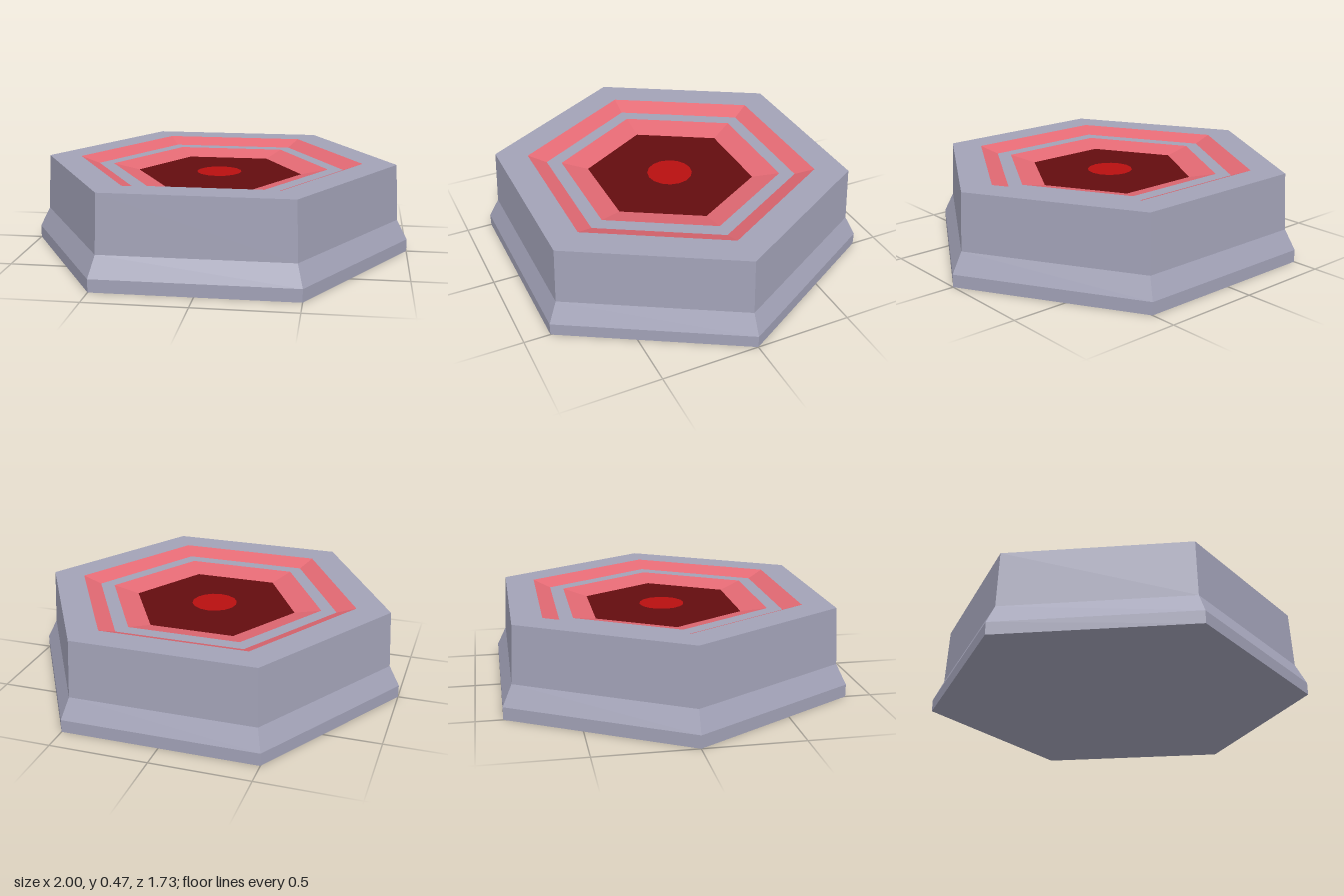
import * as THREE from 'three';

const material = (name, color) => {
  const m = new THREE.MeshStandardMaterial({ color });
  m.name = name;
  return m;
};

// Six-sided ring with flat faces, corners on the x axis; profile is [radius, height] pairs
function hexRing(name, profile, mat) {
  const points = profile.map(([r, y]) => new THREE.Vector2(r, y));
  const geometry = new THREE.LatheGeometry(points, 6, Math.PI / 2).toNonIndexed();
  geometry.computeVertexNormals();
  const mesh = new THREE.Mesh(geometry, mat);
  mesh.name = name;
  return mesh;
}

export function createModel() {
  const grey = material('grey metal', 0xa2a2b7);
  const red = material('light red', 0xe46a74);
  const darkRed = material('dark red', 0x640c0f);
  const brightRed = material('bright red', 0xb81010);

  const top = 0.465, ledge = 0.43, floor = 0.4;
  const model = new THREE.Group();
  model.name = 'hexagonalPad';

  // Closed underside, flared skirt, walls and top rim
  model.add(hexRing('body', [[0, 0], [1, 0], [1, 0.065], [0.945, 0.17], [0.93, top], [0.755, top]], grey));
  // Stepped recess, each ring going inwards and down
  model.add(hexRing('outerSlope', [[0.755, top], [0.655, ledge]], red));
  model.add(hexRing('ledge', [[0.655, ledge], [0.575, ledge]], grey));
  model.add(hexRing('innerSlope', [[0.575, ledge], [0.435, floor]], red));
  model.add(hexRing('recessFloor', [[0.435, floor], [0, floor]], darkRed));

  // Central light, a thin disc on the floor
  const light = new THREE.Mesh(new THREE.CircleGeometry(0.118, 16).rotateX(-Math.PI / 2), brightRed);
  light.name = 'centreLight';
  light.position.y = floor + 0.004;
  model.add(light);

  return model;
}
